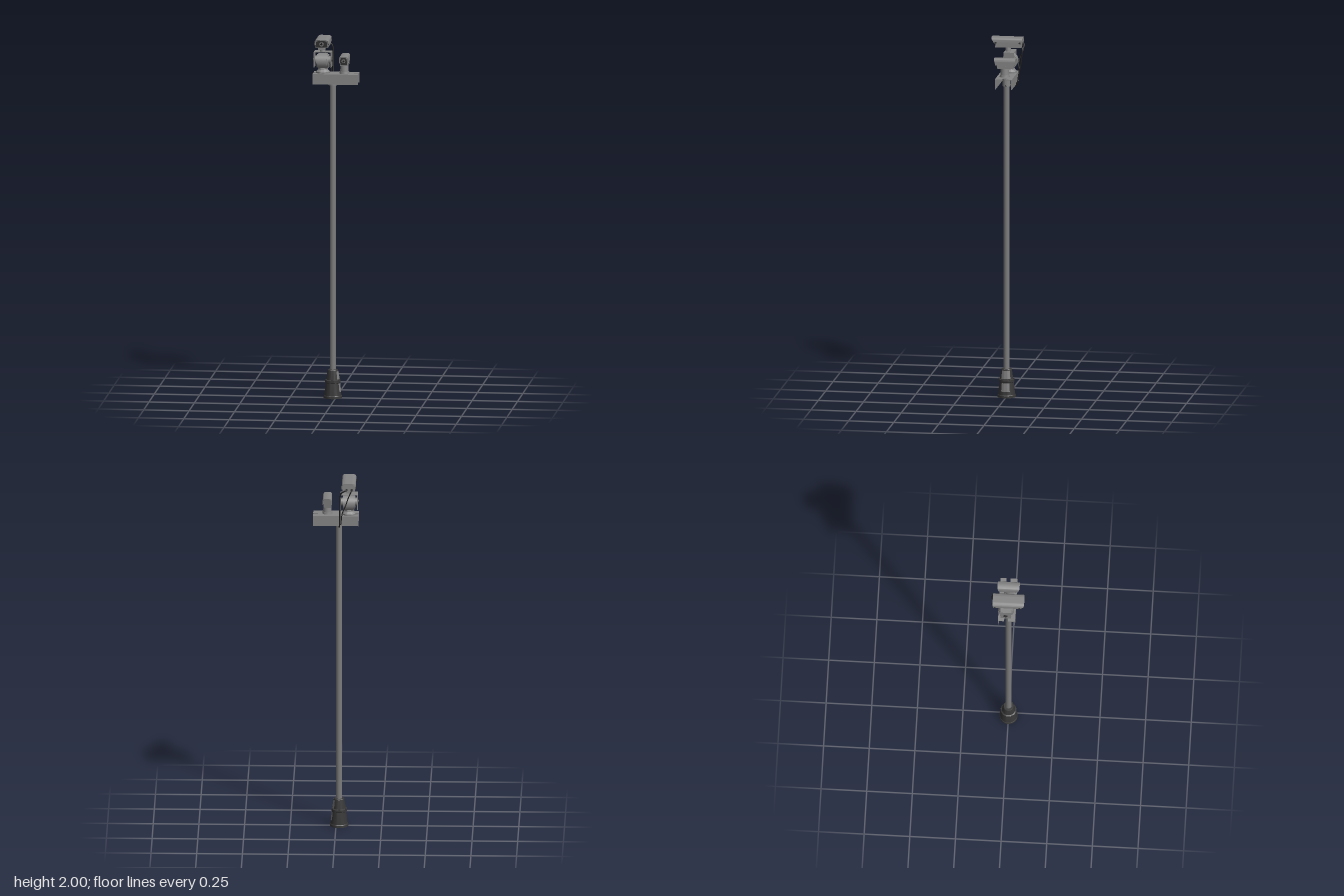
import * as THREE from 'three';
import { toCreasedNormals } from 'three/addons/utils/BufferGeometryUtils.js';

const mat = (name, color) => new THREE.MeshStandardMaterial({ name, color, side: THREE.DoubleSide });

export function createModel() {
  const metal = mat('grey metal', 0x858585);
  const poleGrey = mat('pole grey', 0x7c7c7c);
  const dark = mat('dark base', 0x383838);
  const black = mat('black cable', 0x1e1e1e);
  const root = new THREE.Group();
  root.name = 'cameraPole';

  const add = (name, geo, material, x = 0, y = 0, z = 0, parent = root) => {
    const m = new THREE.Mesh(geo, material);
    m.name = name;
    m.position.set(x, y, z);
    parent.add(m);
    return m;
  };
  const box = (w, h, d) => new THREE.BoxGeometry(w, h, d);
  const cyl = (rt, rb, h, n = 24) => new THREE.CylinderGeometry(rt, rb, h, n);
  const cylX = (r, w, n = 28) => cyl(r, r, w, n).rotateZ(Math.PI / 2);
  const cylZ = (r, w, n = 20) => cyl(r, r, w, n).rotateX(Math.PI / 2);
  const poly = (pts) => new THREE.Shape(pts.map((p) => new THREE.Vector2(...p)));
  const lathe = (pts, ...a) =>
    toCreasedNormals(new THREE.LatheGeometry(pts.map((p) => new THREE.Vector2(...p)), ...a), 0.5);

  const px = -0.017;

  // Pole and flared base with a service hatch on its left side
  add('pole', cyl(0.0165, 0.0165, 1.66, 24), poleGrey, px, 0.95, 0);
  add('base', lathe([[0, 0], [0.05, 0], [0.05, 0.012], [0.047, 0.016], [0.039, 0.084], [0.043, 0.087],
    [0.043, 0.099], [0.036, 0.103], [0.029, 0.154], [0.026, 0.158], [0.016, 0.158]], 32), dark, px, 0, 0);
  add('hatchLower', lathe([[0.046, 0.035], [0.0405, 0.082]], 8, Math.PI / 2 - 0.55, 1.1), poleGrey, px, 0, 0);
  add('hatchUpper', lathe([[0.0375, 0.105], [0.031, 0.15]], 8, Math.PI / 2 - 0.75, 1.5), poleGrey, px, 0, 0);
  for (let i = 0; i < 6; i++) {
    const a = (i / 6) * Math.PI * 2 + 0.5;
    add('baseBolt', cyl(0.004, 0.004, 0.006, 8), dark, px + 0.046 * Math.cos(a), 0.102, 0.046 * Math.sin(a))
      .position.set(px + 0.04 * Math.cos(a), 0.102, 0.04 * Math.sin(a));
  }

  // Channel bracket: notched top plate with two hanging flanges
  const n0 = -0.003, n1 = 0.018;
  const top = poly([[-0.125, -0.042], [0.125, -0.042], [0.125, n0], [0.098, n0], [0.098, n1], [0.125, n1],
    [0.125, 0.052], [-0.125, 0.052], [-0.125, n1], [-0.098, n1], [-0.098, n0], [-0.125, n0]]);
  add('bracketTop', new THREE.ExtrudeGeometry(top, { depth: 0.004, bevelEnabled: false }).rotateX(-Math.PI / 2),
    metal, 0, 1.799, 0);
  for (const z of [0.04, -0.05]) add('bracketFlange', box(0.25, 0.055, 0.004), metal, 0, 1.7735, z);
  add('poleSleeve', cyl(0.022, 0.022, 0.062), metal, px, 1.768, 0);
  const gusset = poly([[-0.021, 1.735], [0.021, 1.735], [0.038, 1.75], [0.038, 1.799], [-0.038, 1.799], [-0.038, 1.75]]);
  add('gusset', new THREE.ExtrudeGeometry(gusset, { depth: 0.006, bevelEnabled: false }), metal, px, 0, -0.003);

  // Arched section of half width w, from y0 up to y1; its ends slant with height
  function housing(w, y0, y1, back, front, slantBack, slantFront, wall) {
    const h = y1 - y0;
    const s = new THREE.Shape();
    s.moveTo(-w, y0);
    s.lineTo(-w, y0 + h * 0.55);
    s.quadraticCurveTo(-w, y1, -w * 0.45, y1);
    s.lineTo(w * 0.45, y1);
    s.quadraticCurveTo(w, y1, w, y0 + h * 0.55);
    s.lineTo(w, y0);
    if (wall) {
      const v = w - wall, t = y1 - wall;
      s.lineTo(v, y0);
      s.lineTo(v, y0 + h * 0.55);
      s.quadraticCurveTo(v, t, v * 0.45, t);
      s.lineTo(-v * 0.45, t);
      s.quadraticCurveTo(-v, t, -v, y0 + h * 0.55);
      s.lineTo(-v, y0);
    }
    const g = new THREE.ExtrudeGeometry(s, { depth: 1, bevelEnabled: false, curveSegments: 8 });
    const p = g.attributes.position;
    for (let i = 0; i < p.count; i++) {
      const drop = (y1 - p.getY(i)) / h;
      p.setZ(i, p.getZ(i) > 0.5 ? front - slantFront * drop : back + slantBack * drop);
    }
    return toCreasedNormals(g, 0.6);
  }

  // Pan-and-tilt head: pedestal, drum and yoke
  const head = new THREE.Group();
  head.name = 'panTiltHead';
  head.position.set(-0.072, 0, -0.01);
  root.add(head);
  add('pedestal', lathe([[0, 1.803], [0.038, 1.803], [0.038, 1.811], [0.027, 1.822], [0.022, 1.84], [0, 1.84]], 28),
    metal, 0, 0, 0, head);
  add('drum', cylX(0.043, 0.05), metal, 0, 1.868, 0, head);
  for (const s of [-1, 1]) {
    add('drumRim', cylX(0.038, 0.008), metal, s * 0.029, 1.868, 0, head);
    add('drumCap', cylX(0.022, 0.012), metal, s * 0.037, 1.874, 0, head);
    add('yokeArm', box(0.003, 0.085, 0.058), metal, s * 0.0465, 1.878, 0, head);
    add('pivotKnob', cylX(0.011, 0.006, 16), dark, s * 0.05, 1.876, 0, head);
  }
  add('yokeTop', box(0.096, 0.003, 0.058), metal, 0, 1.9205, 0, head);
  add('cameraStem', cyl(0.014, 0.017, 0.026, 16), metal, 0, 1.932, 0.01, head);

  // Large camera: body, sun hood, mounting rail, front window
  const big = new THREE.Group();
  big.name = 'largeCamera';
  big.position.x = -0.071;
  root.add(big);
  add('largeBody', housing(0.034, 1.953, 1.995, -0.078, 0.071, 0, 0.008), metal, 0, 0, 0, big);
  add('largeHood', housing(0.038, 1.968, 2.0, -0.083, 0.09, 0.003, 0.018, 0.003), metal, 0, 0, 0, big);
  add('largeRail', box(0.036, 0.009, 0.145), metal, 0, 1.948, -0.002, big);
  add('largeFace', housing(0.031, 1.956, 1.992, 0.063, 0.0735, 0, 0.008), dark, 0, 0, 0, big);
  add('largeWindow', cylZ(0.012, 0.004), metal, 0, 1.974, 0.071, big);
  add('largeLens', cylZ(0.007, 0.003), black, 0, 1.974, 0.0735, big);
  add('wiper', box(0.024, 0.003, 0.004), black, 0, 1.959, 0.068, big);
  for (const s of [-1, 1]) for (const z of [-0.07, 0.065])
    add('hoodClip', box(0.005, 0.008, 0.01), dark, s * 0.0385, 1.974, z, big);

  // Small fixed camera on a round foot
  const small = new THREE.Group();
  small.name = 'smallCamera';
  small.position.x = 0.047;
  root.add(small);
  add('smallFoot', cyl(0.026, 0.028, 0.012), metal, 0, 1.809, 0, small);
  add('smallNeck', cyl(0.021, 0.024, 0.045), metal, 0, 1.835, 0, small);
  add('smallBody', housing(0.021, 1.85, 1.9, -0.056, 0.046, 0.008, 0.008), metal, 0, 0, 0, small);
  add('smallHood', housing(0.025, 1.868, 1.905, -0.063, 0.058, 0.006, 0.01, 0.003), metal, 0, 0, 0, small);
  add('smallFace', housing(0.018, 1.857, 1.896, 0.04, 0.048, 0, 0.007), dark, 0, 0, 0, small);
  add('smallWindow', cylZ(0.01, 0.004), metal, 0, 1.878, 0.046, small);
  add('smallLens', cylZ(0.006, 0.003), black, 0, 1.878, 0.0485, small);
  for (const s of [-1, 1]) add('smallPivot', cylX(0.008, 0.005, 14), metal, s * 0.0235, 1.862, 0, small);

  // Cables hanging behind the large camera
  const cable = (pts, r) => new THREE.TubeGeometry(
    new THREE.CatmullRomCurve3(pts.map((p) => new THREE.Vector3(...p))), 40, r, 8);
  add('mainCable', cable([[-0.06, 1.964, -0.074], [-0.058, 1.963, -0.087], [-0.03, 1.945, -0.086],
    [-0.024, 1.88, -0.08], [-0.022, 1.8, -0.066], [-0.02, 1.75, -0.056], [-0.018, 1.736, -0.035],
    [-0.018, 1.752, -0.015]], 0.0035), black);
  add('secondCable', cable([[-0.088, 1.964, -0.074], [-0.087, 1.962, -0.085], [-0.07, 1.92, -0.08],
    [-0.055, 1.87, -0.062], [-0.035, 1.82, -0.066], [-0.028, 1.76, -0.058], [-0.022, 1.745, -0.03]], 0.0028), black);
  for (const x of [-0.088, -0.06]) add('cableGland', cylZ(0.006, 0.01, 12), dark, x, 1.964, -0.08);

  return root;
}
